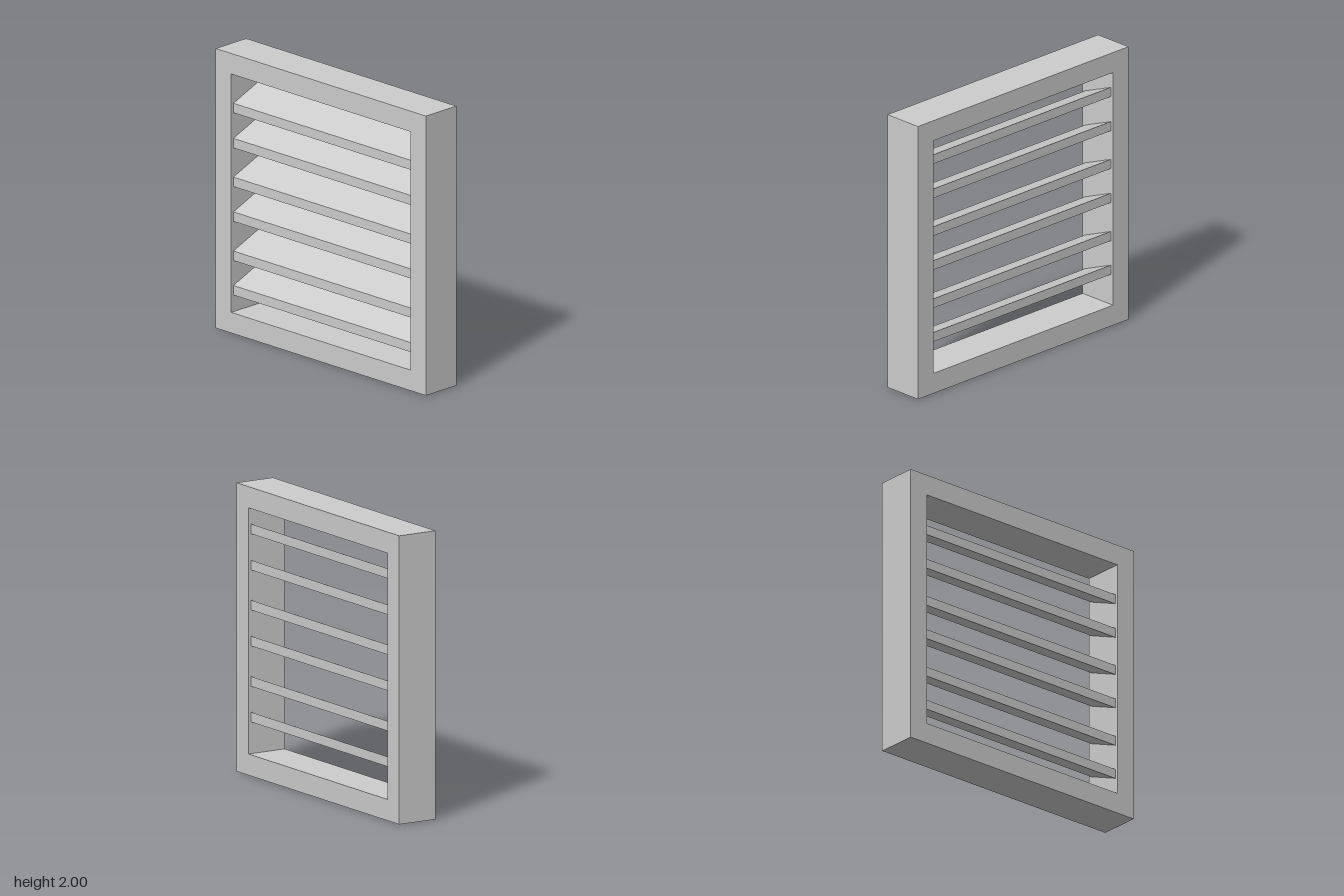
import * as THREE from 'three';

const DEPTH = 0.294;   // frame depth
const BORDER = 0.147;  // frame border width
const INNER = 1 - BORDER;

export function createModel() {
  const model = new THREE.Group();
  model.name = 'louvreVent';
  const grey = new THREE.MeshStandardMaterial({ color: 0xcccccc });
  grey.name = 'light grey';

  // Square frame with a square opening
  const outline = new THREE.Shape([[-1, 0], [1, 0], [1, 2], [-1, 2]].map(p => new THREE.Vector2(...p)));
  outline.holes.push(new THREE.Path([
    [-INNER, BORDER], [-INNER, 2 - BORDER], [INNER, 2 - BORDER], [INNER, BORDER],
  ].map(p => new THREE.Vector2(...p))));
  const frameGeometry = new THREE.ExtrudeGeometry(outline, { depth: DEPTH, bevelEnabled: false });
  frameGeometry.translate(0, 0, -DEPTH / 2);
  const frame = new THREE.Mesh(frameGeometry, grey);
  frame.name = 'frame';
  model.add(frame);

  // Slanted slat: upright front and back edges, rising towards the back
  const halfDepth = 0.125, rise = 0.1, thickness = 0.068;
  const section = new THREE.Shape([
    [-halfDepth, 0], [halfDepth, rise], [halfDepth, rise + thickness], [-halfDepth, thickness],
  ].map(p => new THREE.Vector2(...p)));
  const slatGeometry = new THREE.ExtrudeGeometry(section, { depth: 2 * INNER, bevelEnabled: false });
  slatGeometry.translate(0, 0, -INNER);
  slatGeometry.rotateY(Math.PI / 2); // section x becomes -z, extrusion runs along x

  // Slats sit in three slightly spaced pairs
  const slats = new THREE.Group();
  slats.name = 'slats';
  [0.266, 0.513, 0.793, 1.042, 1.319, 1.57].forEach((y, i) => {
    const slat = new THREE.Mesh(slatGeometry, grey);
    slat.name = `slat${i + 1}`;
    slat.position.y = y;
    slats.add(slat);
  });
  // Order from bottom to top
  slats.children.sort((a, b) => a.position.y - b.position.y);
  model.add(slats);

  return model;
}
